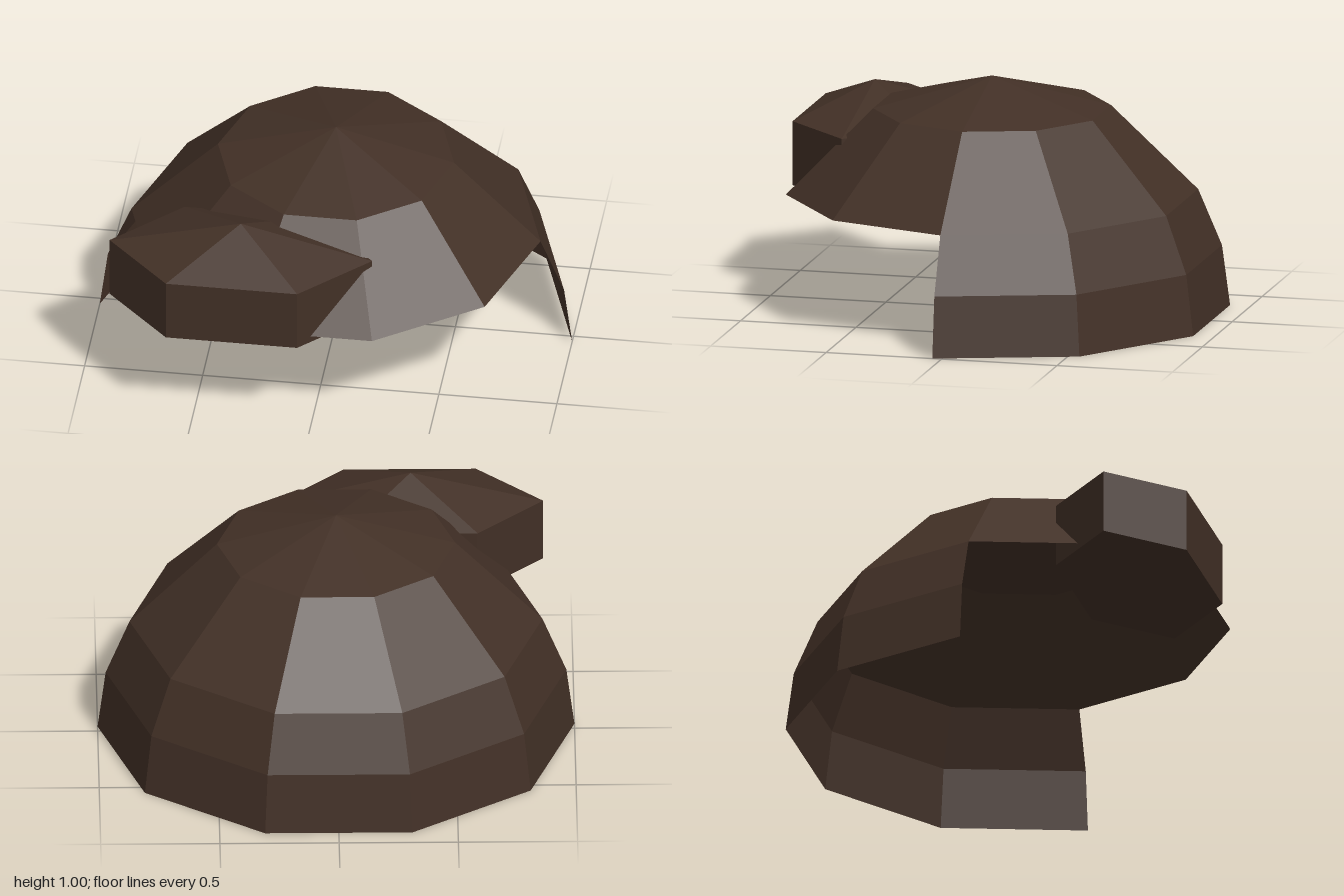
import * as THREE from 'three';

export function createModel() {
  const model = new THREE.Group();
  model.name = 'hair';
  const brown = new THREE.MeshStandardMaterial({ color: 0x423026, flatShading: true, side: THREE.DoubleSide });
  brown.name = 'dark brown hair';

  const add = (name, geometry, x, y, z) => {
    const mesh = new THREE.Mesh(geometry, brown);
    mesh.name = name;
    mesh.position.set(x, y, z);
    model.add(mesh);
    return mesh;
  };

  // Open ten-sided cap over the whole head
  add('crown', new THREE.SphereGeometry(1, 10, 2, 0, Math.PI * 2, 0, Math.PI / 3), 0, 0, 0.04);

  // Lower band, only round the back half
  add('backHair', new THREE.SphereGeometry(1, 5, 1, Math.PI, Math.PI, Math.PI / 3, Math.PI / 6), 0, 0, 0.04);

  // Six-sided lump of hair swept over the forehead
  add('fringe', new THREE.SphereGeometry(1, 6, 3), -0.32, 0.608, 0.63).scale.set(0.642, 0.274, 0.38);

  return model;
}
